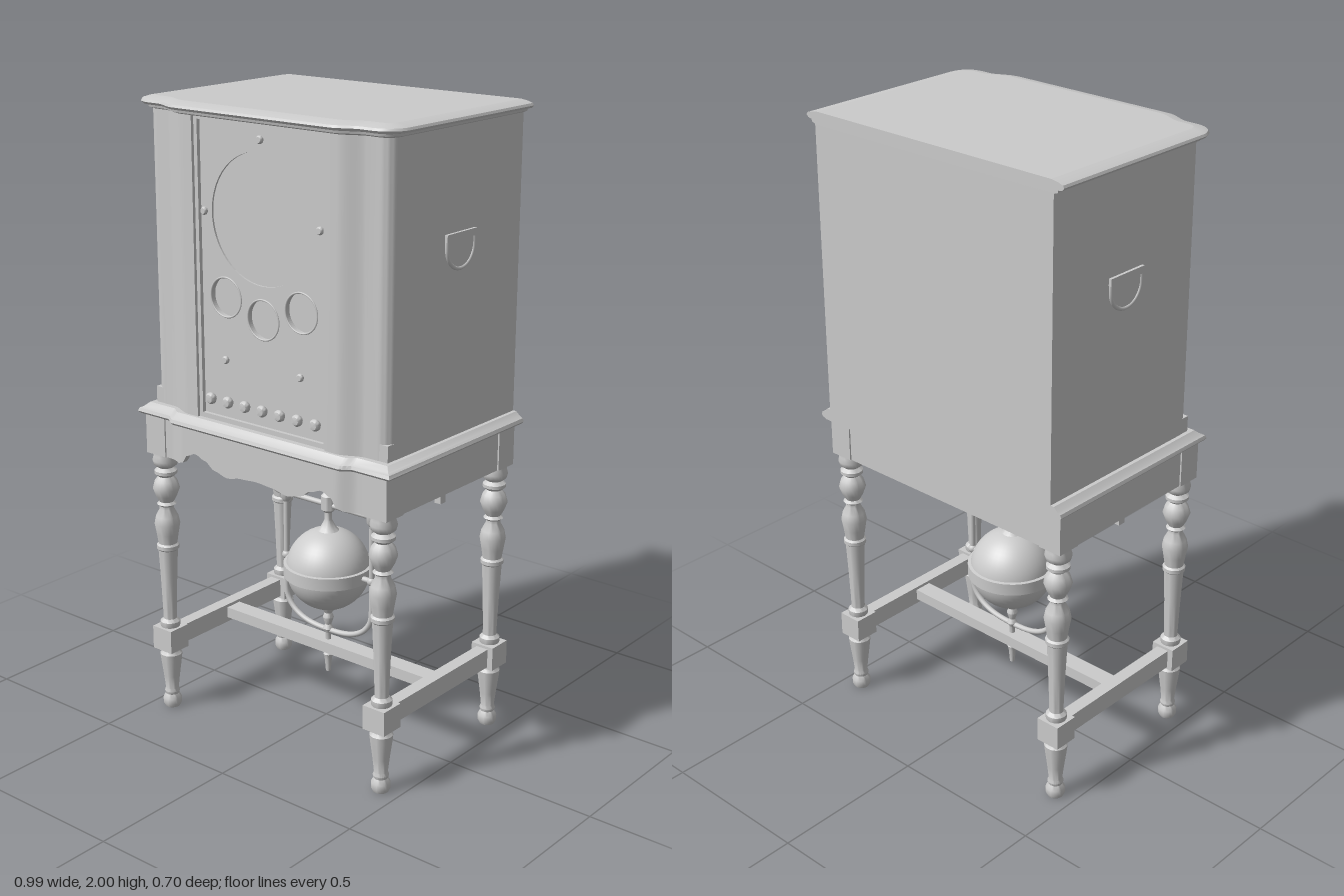
import * as THREE from 'three';
import { toCreasedNormals } from 'three/addons/utils/BufferGeometryUtils.js';

const material = new THREE.MeshStandardMaterial({ color: 0xcccccc });
const V2 = (x, y) => new THREE.Vector2(x, y);
const V3 = (x, y, z) => new THREE.Vector3(x, y, z);
const BACK = -0.35;

function add(parent, name, geo, x = 0, y = 0, z = 0) {
  const mesh = new THREE.Mesh(geo, material);
  mesh.name = name;
  mesh.position.set(x, y, z);
  parent.add(mesh);
  return mesh;
}
const box = (w, h, d) => new THREE.BoxGeometry(w, h, d);
const turned = (profile, sides = 24) =>
  toCreasedNormals(new THREE.LatheGeometry(profile.map(([r, y]) => V2(r, y)), sides), 0.7);
const tube = (points, radius, segments = 48) =>
  new THREE.TubeGeometry(new THREE.CatmullRomCurve3(points), segments, radius, 10);
const smooth = (t) => { t = Math.min(1, Math.max(0, t)); return t * t * (3 - 2 * t); };

// Plan outline, back right to back left, with rounded corners and a stepped-out front
function outline({ w, side, front, r, s0, s1, notch }, inset) {
  const half = [[w - inset, BACK]];
  const rr = Math.max(r - inset, 0.001);
  const cx = w - inset - rr, cz = side - inset - rr;
  for (let i = 0; i <= 8; i++) {
    const a = (i / 8) * Math.PI / 2;
    half.push([cx + rr * Math.cos(a), cz + rr * Math.sin(a)]);
  }
  for (let i = 0; i <= 10; i++) {
    const t = i / 10;
    half.push([s0 + (s1 - s0) * t, side - inset + (front - side) * smooth(t)]);
  }
  if (notch) half.push([notch[0], front - inset], [notch[0], notch[1]]);
  return [...half, ...half.slice().reverse().map(([x, z]) => [-x, z])];
}

// Solid lofted through the outline at each [inset, y] of the edge profile
function loft(parent, name, plan, profile) {
  const group = new THREE.Group();
  group.name = name;
  const rings = profile.map(([inset, y]) => outline(plan, inset).map(([x, z]) => [x, y, z]));
  const pos = [];
  for (let i = 0; i + 1 < rings.length; i++) {
    const lo = rings[i], hi = rings[i + 1], n = lo.length;
    for (let j = 0; j < n; j++) {
      const k = (j + 1) % n;
      pos.push(...lo[j], ...hi[j], ...lo[k], ...lo[k], ...hi[j], ...hi[k]);
    }
  }
  const geo = new THREE.BufferGeometry();
  geo.setAttribute('position', new THREE.Float32BufferAttribute(pos, 3));
  add(group, name + 'Edge', toCreasedNormals(geo, 0.6));
  const cap = (ring, s) => new THREE.ShapeGeometry(
    new THREE.Shape(ring.map(([x, , z]) => V2(x, -s * z)))).rotateX(-s * Math.PI / 2);
  const last = rings.length - 1;
  add(group, name + 'Top', cap(rings[last], 1), 0, profile[last][1]);
  add(group, name + 'Bottom', cap(rings[0], -1), 0, profile[0][1]);
  parent.add(group);
}

function rectShape(x0, y0, x1, y1) {
  return new THREE.Shape([V2(x0, y0), V2(x1, y0), V2(x1, y1), V2(x0, y1)]);
}
const circlePath = (x, y, r) => new THREE.Path().absarc(x, y, r, 0, Math.PI * 2, true);
const extrude = (shape, depth) =>
  new THREE.ExtrudeGeometry(shape, { depth, bevelEnabled: false, curveSegments: 32 });

function buildCabinet(root) {
  const plan = { w: 0.49, side: 0.315, front: 0.345, r: 0.075, s0: 0.38, s1: 0.29 };
  loft(root, 'cabinetTop', plan, [[0.035, 1.962], [0.022, 1.967], [0.02, 1.974], [0.006, 1.977],
    [0, 1.984], [0.004, 1.991], [0.02, 1.996], [0.045, 2]]);
  loft(root, 'cabinetBody', { ...plan, notch: [0.25, 0.27] }, [[0.035, 1.045], [0.035, 1.965]]);
  for (const s of [-1, 1]) add(root, 'cornerStop', box(0.04, 0.055, 0.04), s * 0.434, 1.0725, 0.259);

  // Recessed front panel with round openings and a surrounding frame
  const frame = rectShape(-0.25, 1.045, 0.25, 1.966);
  frame.holes.push(rectShape(-0.237, 1.065, 0.237, 1.952));
  add(root, 'panelFrame', extrude(frame, 0.03), 0, 0, 0.27);
  const panel = rectShape(-0.237, 1.065, 0.237, 1.952);
  panel.holes.push(circlePath(0, 1.685, 0.195));
  const dials = [[-0.145, 1.435], [0, 1.39], [0.145, 1.435]];
  for (const [x, y] of dials) panel.holes.push(circlePath(x, y, 0.06));
  add(root, 'frontPanel', extrude(panel, 0.018), 0, 0, 0.27);
  add(root, 'speakerDisc', new THREE.CylinderGeometry(0.195, 0.195, 0.012, 48).rotateX(Math.PI / 2), 0, 1.685, 0.276);
  for (const [x, y] of dials) add(root, 'dialRim', new THREE.TorusGeometry(0.06, 0.003, 6, 40), x, y, 0.288);

  // Control knobs and round-headed studs
  const knob = (r, h) => turned([[r * 0.7, 0], [r, h * 0.3], [r, h * 0.6], [r * 0.7, h * 0.9], [0, h]], 20).rotateX(Math.PI / 2);
  for (let i = -3; i <= 3; i++) add(root, 'knob', knob(0.018, 0.025), i * 0.068, 1.115, 0.287);
  for (const [x, y] of [[0, 1.915], [-0.22, 1.685], [0.22, 1.685], [-0.145, 1.245], [0.145, 1.245]])
    add(root, 'stud', knob(0.012, 0.016), x, y, 0.287);

  // D-shaped side handles
  for (const s of [-1, 1]) {
    const handle = new THREE.Group();
    handle.name = 'sideHandle';
    const rim = [];
    for (let i = 0; i <= 16; i++) {
      const a = Math.PI * (1 + i / 16);
      rim.push(V3(0, 1.62 + 0.066 * Math.sin(a), 0.066 * Math.cos(a)));
    }
    add(handle, 'handleRim', tube([V3(0, 1.655, -0.066), ...rim, V3(0, 1.655, 0.066)], 0.006));
    add(handle, 'handleBar', box(0.014, 0.022, 0.145), 0, 1.65, 0);
    const plate = new THREE.Shape().moveTo(-0.066, 1.65).lineTo(-0.066, 1.62)
      .absarc(0, 1.62, 0.066, Math.PI, Math.PI * 2, false).lineTo(0.066, 1.65);
    add(handle, 'handlePlate', extrude(plate, 0.004).rotateY(Math.PI / 2), -0.002, 0, 0);
    handle.position.set(s * 0.457, 0, -0.045);
    root.add(handle);
  }
}

function buildStand(root) {
  loft(root, 'standTop', { w: 0.495, side: 0.325, front: 0.347, r: 0, s0: 0.365, s1: 0.325 },
    [[0.022, 1.01], [0.006, 1.015], [0, 1.022], [0.004, 1.032], [0.014, 1.037], [0.028, 1.05]]);

  // Turned legs with square blocks
  const lower = turned([[0, 0], [0.024, 0], [0.03, 0.012], [0.03, 0.03], [0.022, 0.045], [0.025, 0.055], [0.021, 0.065],
    [0.026, 0.11], [0.034, 0.17], [0.036, 0.19], [0.028, 0.2], [0.028, 0.215]]);
  const upper = turned([[0.028, 0.28], [0.032, 0.29], [0.032, 0.305], [0.022, 0.315], [0.022, 0.34], [0.026, 0.45], [0.031, 0.555],
    [0.036, 0.56], [0.036, 0.572], [0.03, 0.578], [0.035, 0.61], [0.041, 0.645], [0.036, 0.67], [0.023, 0.695], [0.023, 0.705],
    [0.031, 0.712], [0.023, 0.72], [0.034, 0.74], [0.043, 0.765], [0.036, 0.79], [0.024, 0.805], [0.036, 0.815], [0.036, 0.825],
    [0.024, 0.835], [0.037, 0.845], [0.041, 0.86], [0.037, 0.875], [0.037, 0.89]]);
  for (const s of [-1, 1]) {
    for (const z of [0.27, -0.29]) {
      add(root, 'legFoot', lower, s * 0.435, 0, z);
      add(root, 'legBlock', box(0.08, 0.078, 0.08), s * 0.435, 0.248, z);
      add(root, 'legShaft', upper, s * 0.435, 0, z);
      add(root, 'cornerBlock', box(0.08, 0.128, 0.08), s * 0.435, 0.949, z);
    }
    add(root, 'sideApron', box(0.02, 0.128, 0.5), s * 0.46, 0.949, -0.01);
    add(root, 'sideStretcher', box(0.042, 0.062, 0.5), s * 0.435, 0.247, -0.01);
  }
  add(root, 'backApron', box(0.8, 0.128, 0.02), 0, 0.949, -0.315);
  add(root, 'crossStretcher', box(0.84, 0.036, 0.06), 0, 0.25, -0.01);

  // Bowed front apron with a scalloped lower edge
  const wave = [[0, 0.9], [0.06, 0.896], [0.12, 0.885], [0.17, 0.897], [0.21, 0.92], [0.25, 0.933], [0.285, 0.92],
    [0.305, 0.893], [0.33, 0.885], [0.4, 0.885]];
  const edgeAt = (a) => {
    const i = Math.max(1, wave.findIndex(([x]) => x >= a - 1e-6));
    const [x0, y0] = wave[i - 1], [x1, y1] = wave[i];
    return y0 + (y1 - y0) * smooth((a - x0) / (x1 - x0));
  };
  const apron = new THREE.BoxGeometry(0.79, 0.128, 0.02, 96, 1, 1);
  const p = apron.attributes.position;
  for (let i = 0; i < p.count; i++) {
    const a = Math.abs(p.getX(i));
    p.setY(i, p.getY(i) > 0 ? 1.013 : edgeAt(a));
    p.setZ(i, p.getZ(i) + 0.295 + 0.022 * smooth((0.37 - a) / 0.07));
  }
  add(root, 'frontApron', toCreasedNormals(apron, 0.6));
}

function buildGlobe(root) {
  const globe = new THREE.Group();
  globe.name = 'hangingGlobe';
  globe.position.z = -0.01;
  root.add(globe);
  add(globe, 'globe', new THREE.SphereGeometry(0.135, 40, 28), 0, 0.515);
  add(globe, 'equatorBand', turned([[0.13, 0.493], [0.143, 0.495], [0.143, 0.535], [0.13, 0.537]], 40));

  // Centre post above and finial below
  add(globe, 'centrePost', turned([[0.04, 0.64], [0.025, 0.655], [0.012, 0.68], [0.012, 0.705], [0.023, 0.715], [0.023, 0.76],
    [0.012, 0.772], [0.018, 0.785], [0.008, 0.8], [0.014, 0.815], [0.006, 0.83], [0, 0.87]], 18));
  add(globe, 'lowerFinial', turned([[0, 0.15], [0.008, 0.155], [0.012, 0.2], [0.016, 0.215], [0.009, 0.225], [0.009, 0.29],
    [0.017, 0.305], [0.01, 0.32], [0.018, 0.345], [0.012, 0.36], [0.022, 0.378], [0.03, 0.39]], 18));

  // U-shaped yoke
  const yoke = [V3(-0.175, 0.73, 0), V3(-0.175, 0.55, 0)];
  for (let i = 0; i <= 12; i++) {
    const a = Math.PI * (1 + i / 12), c = Math.cos(a);
    yoke.push(V3(0.175 * Math.sign(c) * Math.abs(c) ** 0.75, 0.4 + 0.1 * Math.sin(a), 0));
  }
  yoke.push(V3(0.175, 0.55, 0), V3(0.175, 0.73, 0));
  add(globe, 'yoke', tube(yoke, 0.009, 90));

  // Crossbar, swept arms, pivots and yoke finials
  add(globe, 'crossbar', tube([V3(-0.19, 0.73, 0), V3(0.19, 0.73, 0)], 0.009, 2));
  for (const s of [-1, 1]) {
    add(globe, 'sweptArm', tube([[0.17, 0.73], [0.215, 0.733], [0.25, 0.76], [0.285, 0.81], [0.33, 0.85], [0.38, 0.865], [0.42, 0.865]]
      .map(([x, y]) => V3(s * x, y, 0)), 0.01));
    add(globe, 'armHook', box(0.022, 0.06, 0.025), s * 0.43, 0.872);
    add(globe, 'pivot', new THREE.CylinderGeometry(0.009, 0.009, 0.05, 12).rotateZ(Math.PI / 2), s * 0.155, 0.515);
    add(globe, 'pivotBoss', new THREE.SphereGeometry(0.015, 14, 10), s * 0.175, 0.515);
    add(globe, 'yokeFinial', turned([[0.009, 0.7], [0.017, 0.712], [0.019, 0.755], [0.01, 0.77], [0.014, 0.782], [0.008, 0.795], [0, 0.8]], 16), s * 0.175);
  }
}

export function createModel() {
  const root = new THREE.Group();
  root.name = 'cabinetOnStand';
  buildCabinet(root);
  buildStand(root);
  buildGlobe(root);
  return root;
}
